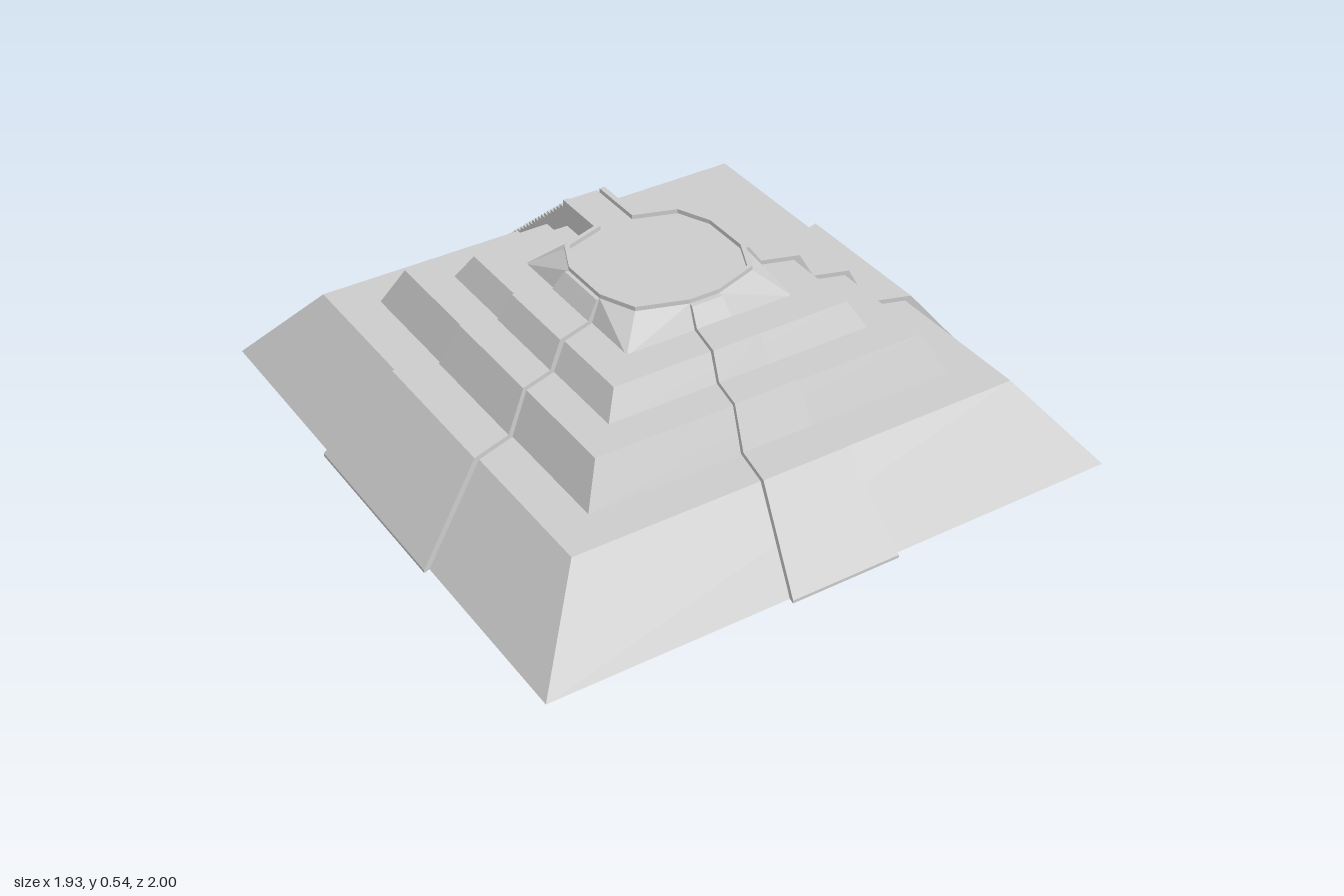
import * as THREE from 'three';
import { ConvexGeometry } from 'three/addons/geometries/ConvexGeometry.js';

const grey = new THREE.MeshStandardMaterial({ color: 0xcccccc, flatShading: true });

function addMesh(parent, name, geometry) {
  const mesh = new THREE.Mesh(geometry, grey);
  mesh.name = name;
  parent.add(mesh);
  return mesh;
}

const shapeOf = pts => new THREE.Shape(pts.map(([x, y]) => new THREE.Vector2(x, y)));

// Extrudes a plan (x, toward the back) upward from y0 to y1
function slab(pts, y0, y1) {
  const g = new THREE.ExtrudeGeometry(shapeOf(pts), { depth: y1 - y0, bevelEnabled: false });
  return g.rotateX(-Math.PI / 2).translate(0, y0, 0);
}

// Extrudes a side profile, with a half width that depends on the distance from the centre
function profiled(pts, halfWidth) {
  const g = new THREE.ExtrudeGeometry(shapeOf(pts), { depth: 2, bevelEnabled: false });
  g.translate(0, 0, -1);
  const p = g.attributes.position;
  for (let i = 0; i < p.count; i++) p.setZ(i, p.getZ(i) * halfWidth(p.getX(i)));
  g.computeVertexNormals();
  return g;
}

export function createModel() {
  const model = new THREE.Group();
  const body = new THREE.Group();
  body.name = 'steppedPyramid';
  body.position.z = 0.035;
  model.add(body);

  // Three square terraces: bottom half width, top half width, bottom y, top y
  const tiers = [[0.945, 0.74, 0, 0.255], [0.61, 0.55, 0.255, 0.38], [0.44, 0.395, 0.38, 0.46]];
  tiers.forEach(([b, t, y0, y1], i) => {
    const g = new THREE.CylinderGeometry(t * Math.SQRT2, b * Math.SQRT2, y1 - y0, 4);
    g.rotateY(Math.PI / 4).translate(0, (y0 + y1) / 2, 0);
    addMesh(body, 'terrace' + (i + 1), g);
  });

  // Twelve-sided plaza outline, starting and ending at the back
  const half = [[0.2, 0.195], [0.25, 0.085], [0.25, -0.085], [0.2, -0.195], [0.05, -0.245]];
  const mirror = pts => pts.map(([x, y]) => [-x, y]).reverse();
  const ring = [[0.05, 0.245], ...half];
  const outline = [...ring, ...mirror(ring)];

  // Top terrace blends a square foot into the plaza
  const floorY = 0.527, rimY = 0.541;
  const foot = [[1, 1], [1, -1], [-1, 1], [-1, -1]];
  addMesh(body, 'topTerrace', new ConvexGeometry([
    ...foot.map(([x, z]) => new THREE.Vector3(x * 0.285, 0.455, z * 0.285)),
    ...outline.map(([x, y]) => new THREE.Vector3(x, floorY, -y)),
  ]));

  // Walkway from the plaza to the stairs
  addMesh(body, 'walkway', slab([[-0.073, 0.15], [0.073, 0.15], [0.073, 0.415], [-0.073, 0.415]], 0.39, floorY));

  // Low rim round the plaza and along the walkway, open at the stairs
  const outer = [[0.073, 0.415], [0.073, 0.237], ...half];
  const inner = [[0.055, 0.415], [0.055, 0.228], ...half.map(([x, y]) => [x * 0.945, y * 0.945])];
  const inside = [...inner, ...mirror(inner)].reverse();
  addMesh(body, 'rim', slab([...outer, ...mirror(outer), ...inside], floorY - 0.004, rimY));

  // Raised tapering bands climbing the front and both sides
  const band = [
    [0.2, 0], [0.965, 0], [0.965, 0.01], [0.757, 0.27], [0.625, 0.27], [0.562, 0.394],
    [0.455, 0.394], [0.412, 0.474], [0.298, 0.474], [0.262, 0.527], [0.2, 0.527],
  ];
  const taper = (top, base) => d => top + (base - top) * (d - 0.25) / 0.715;
  addMesh(body, 'frontBand', profiled(band, taper(0.05, 0.18))).rotation.y = -Math.PI / 2;
  addMesh(body, 'leftBand', profiled(band, taper(0.085, 0.315)));
  addMesh(body, 'rightBand', profiled(band, taper(0.085, 0.315))).rotation.y = Math.PI;

  // Long straight staircase at the back
  const steps = 32, start = 0.41, end = 1.035;
  const run = (end - start) / steps, rise = floorY / steps;
  const stair = [[0.3, 0], [end, 0]];
  for (let i = 0; i < steps; i++) {
    const y = rise * (i + 1);
    stair.push([end - run * i, y], [end - run * (i + 1), y]);
  }
  stair.push([0.3, floorY]);
  addMesh(body, 'stairs', profiled(stair, () => 0.055)).rotation.y = Math.PI / 2;

  return model;
}
